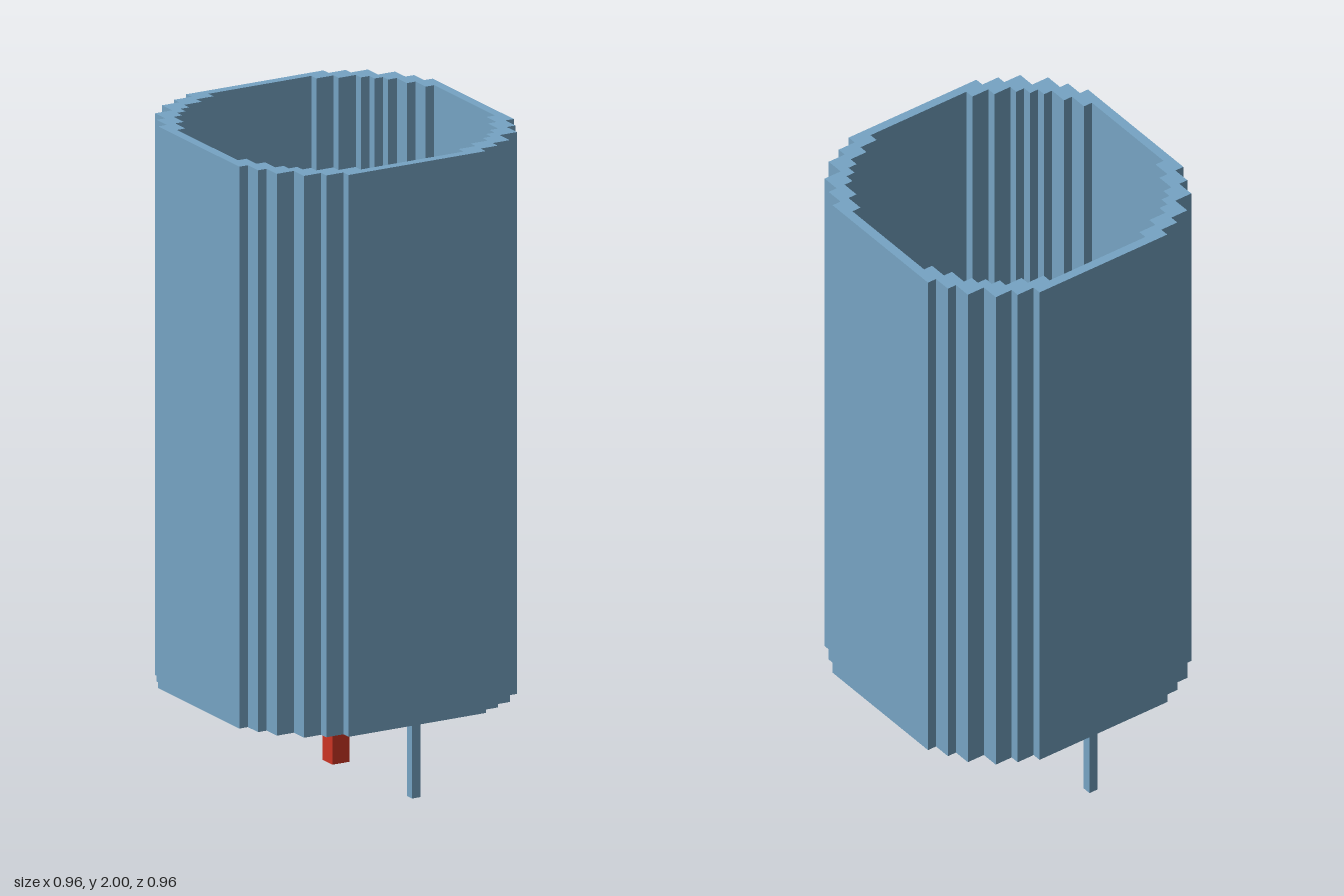
import * as THREE from 'three';

const U = 2 / 67; // one stepped block unit
const BASE = 8 * U; // height of the wall's lower rim

// Stepped outline: the corners of one quadrant, mirrored into a closed loop
function steppedLoop(quadrant) {
  const back = [...quadrant].reverse();
  const loop = [
    ...back,
    ...quadrant.map(([x, z]) => [-x, z]),
    ...back.map(([x, z]) => [-x, -z]),
    ...quadrant.map(([x, z]) => [x, -z]),
  ];
  return loop.map(([x, z]) => new THREE.Vector2(x * U, z * U));
}

function post(name, width, x, z, material) {
  const mesh = new THREE.Mesh(new THREE.BoxGeometry(width * U, BASE, width * U), material);
  mesh.position.set(x * U, BASE / 2, z * U);
  mesh.name = name;
  return mesh;
}

export function createModel() {
  const blue = new THREE.MeshStandardMaterial({ color: 0x76a4c4 });
  blue.name = 'steel blue';
  const red = new THREE.MeshStandardMaterial({ color: 0xcc3424 });
  red.name = 'red';

  const model = new THREE.Group();
  model.name = 'steppedTube';

  // Hollow tube wall with stepped corners, open at both ends
  const outer = [[8, 16], [8, 15], [10, 15], [10, 14], [12, 14], [12, 12],
    [14, 12], [14, 10], [15, 10], [15, 8], [16, 8]];
  const inner = [[6, 15], [6, 14], [8, 14], [8, 13], [10, 13], [10, 12], [11, 12],
    [11, 11], [12, 11], [12, 10], [13, 10], [13, 8], [14, 8], [14, 6], [15, 6]];
  const shape = new THREE.Shape(steppedLoop(outer));
  shape.holes.push(new THREE.Path(steppedLoop(inner)));
  const wallGeometry = new THREE.ExtrudeGeometry(shape, { depth: 2 - BASE, bevelEnabled: false });
  wallGeometry.rotateX(-Math.PI / 2);
  const wall = new THREE.Mesh(wallGeometry, blue);
  wall.position.y = BASE;
  wall.name = 'tubeWall';
  model.add(wall);

  // Thin pins under the front and back of the wall, and the red centre post
  model.add(post('frontPin', 1, 0.5, 14.5, blue));
  model.add(post('backPin', 1, 0.5, -14.5, blue));
  model.add(post('centrePost', 2, 0, 0, red));

  return model;
}
